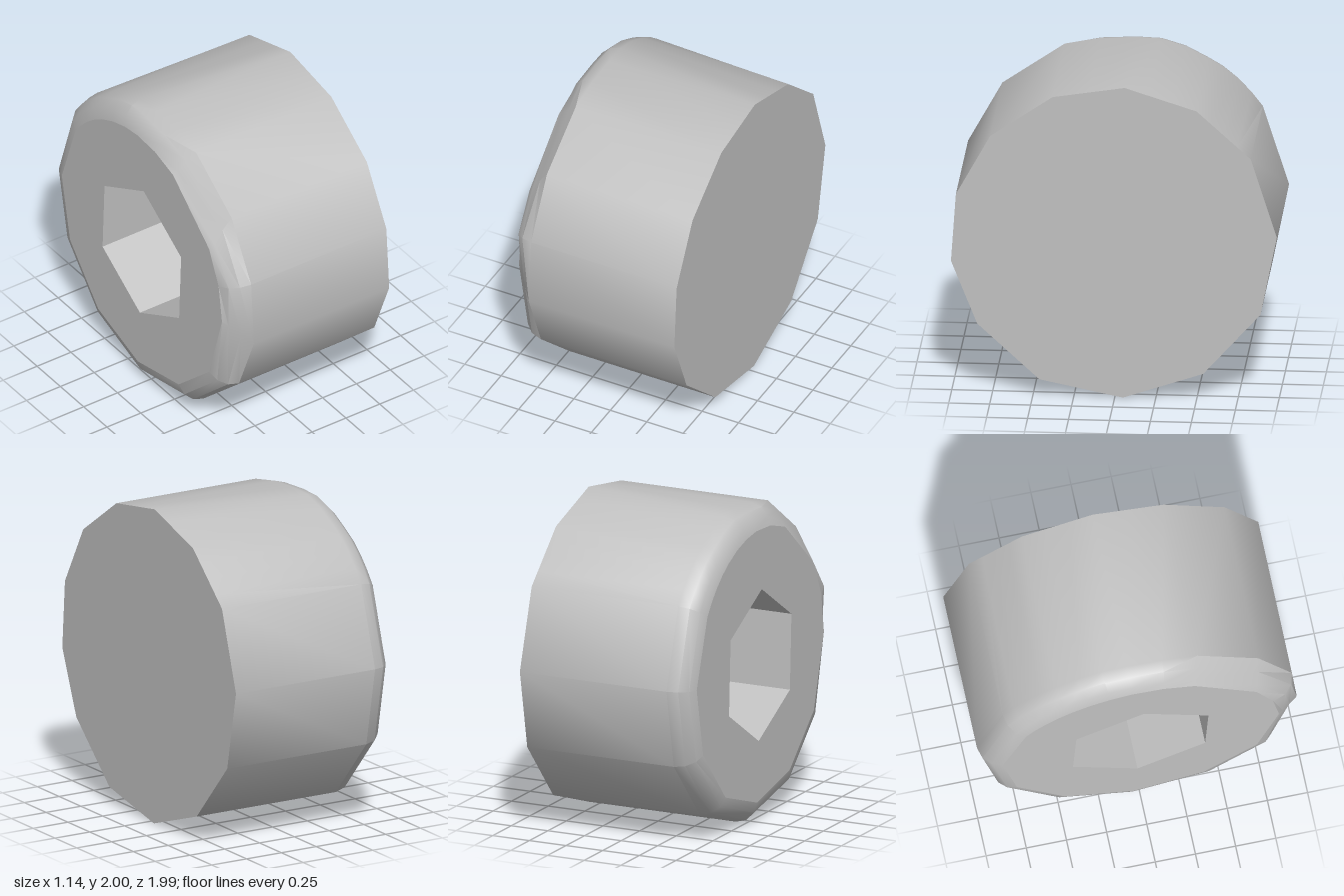
import * as THREE from 'three';
import { toCreasedNormals } from 'three/addons/utils/BufferGeometryUtils.js';

// Points are [x, y, z]; the axis of the screw head runs along x at y = 1.
const rad = Math.PI / 180;
const polar = (x, angle, r) => [x, 1 + r * Math.cos(angle * rad), r * Math.sin(angle * rad)];
const mix = (a, b, t) => a.map((v, k) => v + (b[k] - v) * t);

// Wall between rings: faces outward when x falls, inward when x rises.
function loft(rings) {
  const pos = [];
  for (let i = 0; i < rings.length - 1; i++) {
    const n = rings[i].length;
    for (let j = 0; j < n; j++) {
      const a = rings[i][j], b = rings[i + 1][j];
      const c = rings[i][(j + 1) % n], d = rings[i + 1][(j + 1) % n];
      pos.push(...a, ...b, ...c, ...c, ...b, ...d);
    }
  }
  const geo = new THREE.BufferGeometry();
  geo.setAttribute('position', new THREE.Float32BufferAttribute(pos, 3));
  return toCreasedNormals(geo, 31 * rad);
}

// Flat plate filling a ring, facing dir (+1 or -1) along x.
function plate(ring, dir, hole) {
  const flat = (r) => r.map((p) => new THREE.Vector2(-dir * p[2], p[1]));
  const shape = new THREE.Shape(flat(ring));
  if (hole) shape.holes.push(new THREE.Path(flat(hole)));
  const geo = new THREE.ShapeGeometry(shape);
  geo.rotateY(dir * Math.PI / 2);
  geo.translate(ring[0][0], 0, 0);
  return geo;
}

export function createModel() {
  const group = new THREE.Group();
  const steel = new THREE.MeshStandardMaterial({ color: 0xc0c0c0 });
  steel.name = 'steelGrey';
  const add = (name, geo) => {
    const mesh = new THREE.Mesh(geo, steel);
    mesh.name = name;
    group.add(mesh);
  };

  // Uneven corners of the flat end, as [z, y]
  const corners = [
    [0.38, 1.93], [0.76, 1.67], [0.97, 1.29], [1.0, 0.86], [0.84, 0.46], [0.46, 0.11], [-0.05, 0.005],
    [-0.54, 0.17], [-0.89, 0.56], [-0.99, 1.06], [-0.83, 1.56], [-0.5, 1.86], [-0.06, 2.0],
  ];
  // Corners whose rim is a plain chamfer, with the angle each reaches on the face
  const chamfers = { 0: 23, 1: 57, 3: 90 };
  // Number of rounding steps added along some sides near the socket end
  const extraSteps = { 10: 3, 11: 2, 12: 1 };

  const end = [], shoulder = [], rimA = [], rimB = [], face = [];
  corners.forEach(([z, y], i) => {
    const next = corners[(i + 1) % corners.length];
    const here = [0.57, y, z], there = [0.57, next[1], next[0]];
    const steps = (extraSteps[i] || 0) + 1;
    for (let s = 0; s < steps; s++) {
      const e = mix(here, there, s / steps);
      const angle = Math.atan2(e[2], e[1] - 1) / rad;
      const r = i === 12 ? 0.985 : s ? 1 : Math.hypot(e[2], e[1] - 1);
      const outer = polar(-0.43, angle, r);
      const inner = polar(-0.57, chamfers[i] ?? angle, 0.86);
      const cut = i in chamfers;
      end.push(e);
      shoulder.push(outer);
      rimA.push(cut ? mix(outer, inner, 0.4) : polar(-0.5, angle, r - 0.02));
      rimB.push(cut ? mix(outer, inner, 0.8) : polar(-0.55, angle, r - 0.07));
      face.push(inner);
    }
  });

  // Hexagonal socket
  const hex = (x) => Array.from({ length: 6 }, (_, i) => polar(x, 2.5 + i * 60, 0.475));
  const mouth = hex(-0.57), floor = hex(0.03);

  add('headSide', loft([end, shoulder, rimA, rimB, face]));
  add('flatEnd', plate(end, 1));
  add('socketFace', plate(face, -1, mouth));
  add('socketWalls', loft([mouth, floor]));
  add('socketFloor', plate(floor, -1));
  return group;
}
